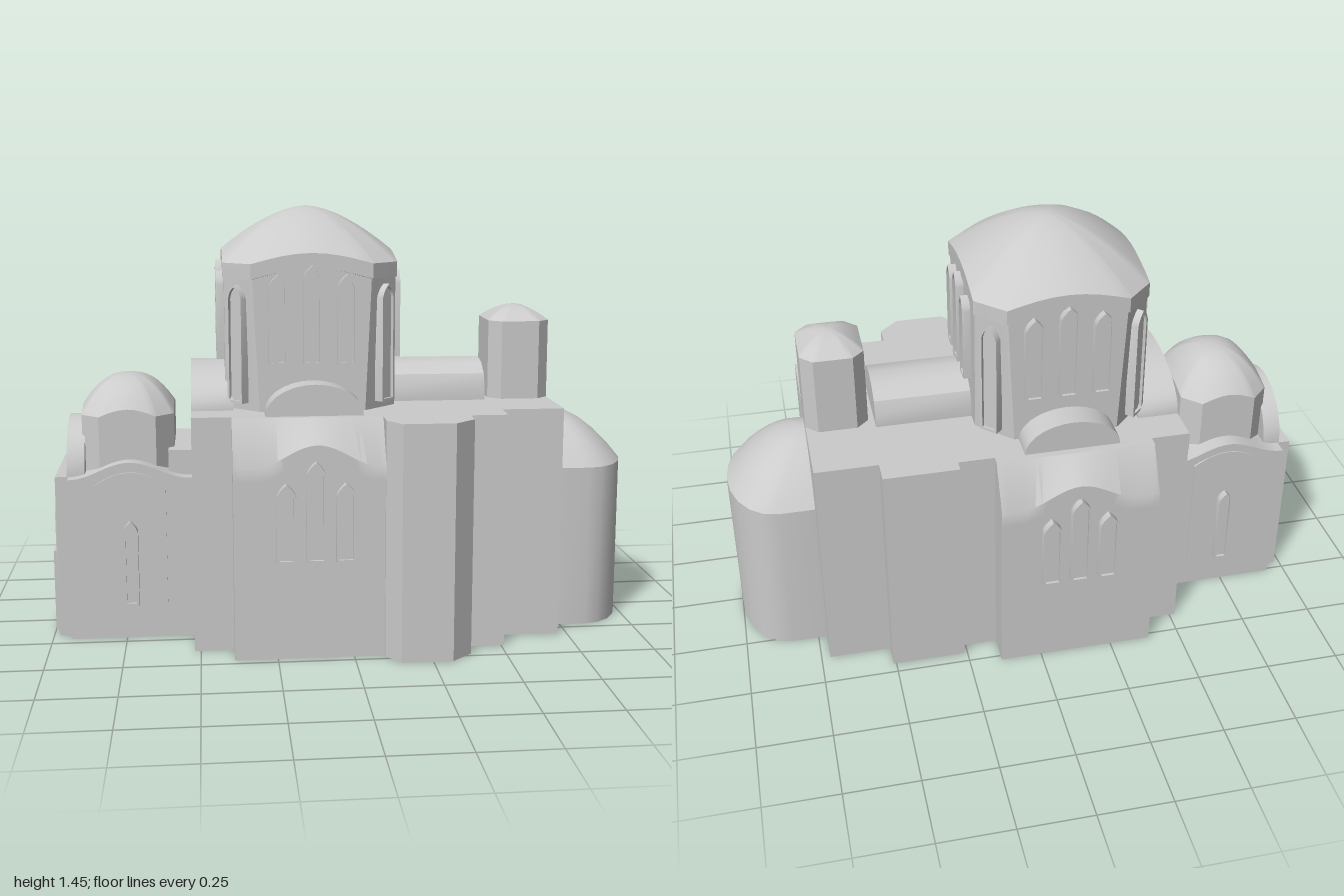
import * as THREE from 'three';
import { mergeVertices, toCreasedNormals } from 'three/addons/utils/BufferGeometryUtils.js';

const CZ = -0.025; // z of the long axis
const DX = -0.12; // x of the main dome

export function createModel() {
  const model = new THREE.Group();
  // The building is a thin shell, open underneath
  const material = new THREE.MeshStandardMaterial({ color: 0xcccccc, side: THREE.DoubleSide });

  // Adds a part, leaving out faces that lie on the ground
  function add(name, geometry, parent = model, crease = 0.6) {
    const g = geometry.index ? geometry.toNonIndexed() : geometry;
    const p = g.attributes.position, kept = [];
    for (let i = 0; i < p.count; i += 3) {
      if ([0, 1, 2].every(k => Math.abs(p.getY(i + k)) < 1e-4)) continue;
      for (let k = 0; k < 3; k++) kept.push(p.getX(i + k), p.getY(i + k), p.getZ(i + k));
    }
    const out = new THREE.BufferGeometry();
    out.setAttribute('position', new THREE.Float32BufferAttribute(kept, 3));
    const mesh = new THREE.Mesh(toCreasedNormals(mergeVertices(out), crease), material);
    mesh.name = name;
    parent.add(mesh);
  }

  // Skin through closed rings of [x, y, z]; edges listed in skip stay open
  function loft(rings, skip = []) {
    const pos = [], n = rings[0].length;
    for (let i = 0; i < rings.length - 1; i++) for (let j = 0; j < n; j++) {
      if (skip.includes(j)) continue;
      const k = (j + 1) % n, a = rings[i], b = rings[i + 1];
      for (const v of [a[j], a[k], b[k], a[j], b[k], b[j]]) pos.push(...v);
    }
    const g = new THREE.BufferGeometry();
    g.setAttribute('position', new THREE.Float32BufferAttribute(pos, 3));
    return g;
  }

  function box(name, x0, x1, y0, y1, z0, z1) {
    add(name, new THREE.BoxGeometry(x1 - x0, y1 - y0, z1 - z0)
      .translate((x0 + x1) / 2, (y0 + y1) / 2, (z0 + z1) / 2));
  }

  // Walls over a footprint of [x, z] with a flat roof; skipped sides stay open
  function prism(name, points, h, skip) {
    const ring = y => points.map(([x, z]) => [x, y, z]);
    add(name + 'Walls', loft([ring(0), ring(h)], skip), model, 0.2);
    const shape = new THREE.Shape(points.map(([x, z]) => new THREE.Vector2(x, -z)));
    add(name + 'Roof', new THREE.ShapeGeometry(shape).rotateX(-Math.PI / 2).translate(0, h, 0));
  }

  // Round-topped block, arch in the xy plane, running along z
  function arch(half, y0, spring, top, depth, seg) {
    const s = new THREE.Shape();
    s.moveTo(-half, y0).lineTo(half, y0);
    for (let i = 0; i <= seg; i++) {
      const a = Math.PI * i / seg;
      s.lineTo(half * Math.cos(a), spring + (top - spring) * Math.sin(a));
    }
    return new THREE.ExtrudeGeometry(s, { depth, bevelEnabled: false });
  }
  function vault(name, x0, x1, half, y0, spring, top, seg) {
    add(name, arch(half, y0, spring, top, x1 - x0, seg).rotateY(Math.PI / 2).translate(x0, 0, CZ));
  }

  // Square ring with cut corners; long sides are subdivided, rise lifts their middles
  function cutRing(cx, hx, hz, cut, y, rise = 0) {
    const c = [[-hx + cut, hz], [hx - cut, hz], [hx, hz - cut], [hx, -hz + cut],
      [hx - cut, -hz], [-hx + cut, -hz], [-hx, -hz + cut], [-hx, hz - cut]];
    const ring = [];
    c.forEach((a, i) => {
      const b = c[(i + 1) % 8];
      for (let k = 0; k < 8; k++) {
        const t = k / 8, up = i % 2 ? 0 : rise * Math.sin(Math.PI * t);
        ring.push([cx + a[0] + (b[0] - a[0]) * t, y + up, CZ + a[1] + (b[1] - a[1]) * t]);
      }
    });
    return ring;
  }

  // Domed cap springing from an eave ring
  function cap(name, eave, cx, top, power) {
    const rings = [];
    for (let i = 0; i <= 8; i++) {
      const s = 1 - i / 8;
      rings.push(eave.map(([x, y, z]) =>
        [cx + s * (x - cx), top - (top - y) * s ** power, CZ + s * (z - CZ)]));
    }
    add(name, loft(rings), model, 0.9);
  }

  // Raised pointed window: pane and frame, standing on y, facing +z before the turn
  function lancet(w, h, parent, x, y, z, turn = 0) {
    const path = (P, i) => {
      const p = new P(), a = w / 2 - i;
      p.moveTo(-a, i).lineTo(a, i).lineTo(a, h - w * 0.7);
      p.quadraticCurveTo(a * 0.8, h - w * 0.3, 0, h - i);
      p.quadraticCurveTo(-a * 0.8, h - w * 0.3, -a, h - w * 0.7);
      p.closePath();
      return p;
    };
    const frame = path(THREE.Shape, 0);
    frame.holes.push(path(THREE.Path, 0.009));
    const g = new THREE.Group();
    g.name = 'lancetWindow';
    g.position.set(x, y, z);
    g.rotation.y = turn;
    parent.add(g);
    const slab = (shape, depth) => new THREE.ExtrudeGeometry(shape, { depth, bevelEnabled: false, curveSegments: 4 })
      .translate(0, 0.001, -0.005);
    add('frame', slab(frame, 0.032), g, 0.4);
    add('pane', slab(path(THREE.Shape, 0.008), 0.022), g, 0.4);
  }

  // Main body with corner pier, open where the side bays and apse join
  prism('body', [[-0.52, 0.37], [-0.39, 0.37], [0.1, 0.37], [0.1, 0.48], [0.145, 0.545], [0.315, 0.545],
    [0.385, 0.48], [0.385, 0.41], [0.51, 0.41], [0.51, 0.31], [0.72, 0.31], [0.72, 0.22], [0.72, -0.27],
    [0.72, -0.38], [0.51, -0.38], [0.51, -0.46], [0.26, -0.46], [0.26, -0.42], [0.14, -0.42],
    [-0.39, -0.42], [-0.52, -0.42]], 0.785, [1, 11, 18]);

  // Apse with half dome
  const plan = [[0, 0.245]];
  for (let i = 0; i <= 10; i++) {
    const a = Math.PI * i / 10;
    plan.push([0.12 + 0.16 * Math.sin(a), 0.245 * Math.cos(a)]);
  }
  plan.push([0, -0.245]);
  const open = [plan.length - 1];
  const apseRing = (s, y) => plan.map(([x, z]) => [0.72 + x * s, y, CZ + z * s]);
  add('apseWall', loft([apseRing(1, 0), apseRing(1, 0.56)], open));
  add('apseRoof', loft([1, 0.85, 0.7, 0.5, 0.3, 0.15, 0].map(s => apseRing(s, 0.56 + 0.18 * (1 - s * s))), open));

  // Wave-topped bay along x; profile(x) gives [y, z] from the back foot round to the back top
  const wave = t => Math.abs(t) < 1 ? (1 + Math.cos(Math.PI * t)) / 2 : 0;
  function bay(name, x0, x1, parent, profile) {
    const rings = [];
    for (let i = 0; i <= 24; i++) {
      const x = x0 + (x1 - x0) * i / 24;
      rings.push(profile(x).reverse().map(([y, z]) => [x, y, z]));
    }
    add(name, loft(rings, [rings[0].length - 1]), parent);
    for (const [x, s] of [[x0, -1], [x1, 1]]) {
      const end = new THREE.Shape(profile(x).map(([y, z]) => new THREE.Vector2(-s * z, y)));
      add(name + 'End', new THREE.ShapeGeometry(end).rotateY(s * Math.PI / 2).translate(x, 0, 0), parent);
    }
  }

  // Side bays, mirrored front and back
  for (const side of [1, -1]) {
    const g = new THREE.Group();
    g.name = side > 0 ? 'frontSide' : 'backSide';
    g.position.z = CZ;
    g.scale.z = side;
    model.add(g);
    bay('transept', -0.39, side > 0 ? 0.1 : 0.14, g, x => {
      const low = 0.64 + 0.07 * wave((x - DX) / 0.2);
      return [[0, 0.395], [0, 0.495], [low - 0.05, 0.495], [low - 0.05, 0.508], [low, 0.508],
        [0.785, 0.425], [0.785, 0.395]];
    });
    add('transeptArch', arch(0.16, 0.78, 0.785, 0.888, 0.12, 14).translate(DX, 0, 0.28), g);
    for (const i of [-1, 0, 1]) lancet(0.064, i ? 0.26 : 0.33, g, DX - 0.005 + i * 0.096, 0.325, 0.495);
    bay('porchBay', -0.935, -0.52, g, x => {
      const top = 0.555 + 0.055 * wave((x + 0.73) / 0.2);
      return [[0, 0], [0, 0.235], [top - 0.03, 0.235], [top - 0.03, 0.245], [top, 0.245], [top, 0]];
    });
    // Blind arch panel and slit
    const panel = new THREE.Shape();
    panel.moveTo(-0.85, 0.09).lineTo(-0.61, 0.09).lineTo(-0.61, 0.53);
    panel.quadraticCurveTo(-0.73, 0.62, -0.85, 0.53);
    add('archPanel', new THREE.ExtrudeGeometry(panel, { depth: 0.012, bevelEnabled: false }).translate(0, 0, 0.23), g);
    lancet(0.05, 0.29, g, -0.73, 0.12, 0.242);
  }

  // West porch: end wall, arched panel, doorway, gable and link to the body
  prism('porchEnd', [[-0.98, 0.17], [-0.935, 0.17], [-0.935, -0.22], [-0.98, -0.22]], 0.555, [1]);
  vault('porchArchPanel', -0.987, -0.975, 0.16, 0, 0.42, 0.51, 12);
  box('door', -1, -0.975, 0, 0.28, -0.15, 0.1);
  vault('porchGable', -0.94, -0.88, 0.195, 0.55, 0.555, 0.735, 16);
  box('porchLink', -0.6, -0.52, 0.55, 0.64, -0.22, 0.17);

  // Porch dome
  const smallEave = cutRing(-0.735, 0.155, 0.19, 0.06, 0.755, 0.025);
  add('porchDrum', loft([cutRing(-0.735, 0.155, 0.19, 0.06, 0.555), smallEave]), model, 0.3);
  cap('porchDome', smallEave, -0.735, 0.88, 2.3);

  // Roof vaults west and east of the main dome
  vault('westVault', -0.52, -0.38, 0.27, 0.78, 0.785, 0.92, 16);
  vault('eastVault', 0.15, 0.49, 0.135, 0.78, 0.83, 0.92, 6);

  // East turret
  const turretEave = cutRing(0.615, 0.105, 0.125, 0.04, 1.055);
  add('turret', loft([cutRing(0.615, 0.105, 0.125, 0.04, 0.785), turretEave]), model, 0.3);
  cap('turretRoof', turretEave, 0.615, 1.105, 1.8);

  // Main drum, eave band and dome
  const eave = cutRing(DX, 0.29, 0.31, 0.09, 1.27, 0.035);
  add('drum', loft([cutRing(DX, 0.285, 0.305, 0.11, 0.785), cutRing(DX, 0.285, 0.305, 0.09, 1.22, 0.035),
    cutRing(DX, 0.29, 0.31, 0.09, 1.22, 0.035), eave]), model, 0.3);
  cap('mainDome', eave, DX, 1.45, 1.65);

  // Drum windows: three on each main face, one on each cut corner
  for (let f = 0; f < 4; f++) {
    const g = new THREE.Group();
    g.name = 'drumFace';
    g.position.set(DX, 0, CZ);
    g.rotation.y = f * Math.PI / 2;
    model.add(g);
    const [across, out] = f % 2 ? [0.305, 0.285] : [0.285, 0.305];
    for (const i of [-1, 0, 1]) lancet(0.062, i ? 0.295 : 0.325, g, i * 0.113, 0.94, out);
    lancet(0.065, 0.39, g, across - 0.048, 0.81, out - 0.048, Math.PI / 4);
  }
  return model;
}
